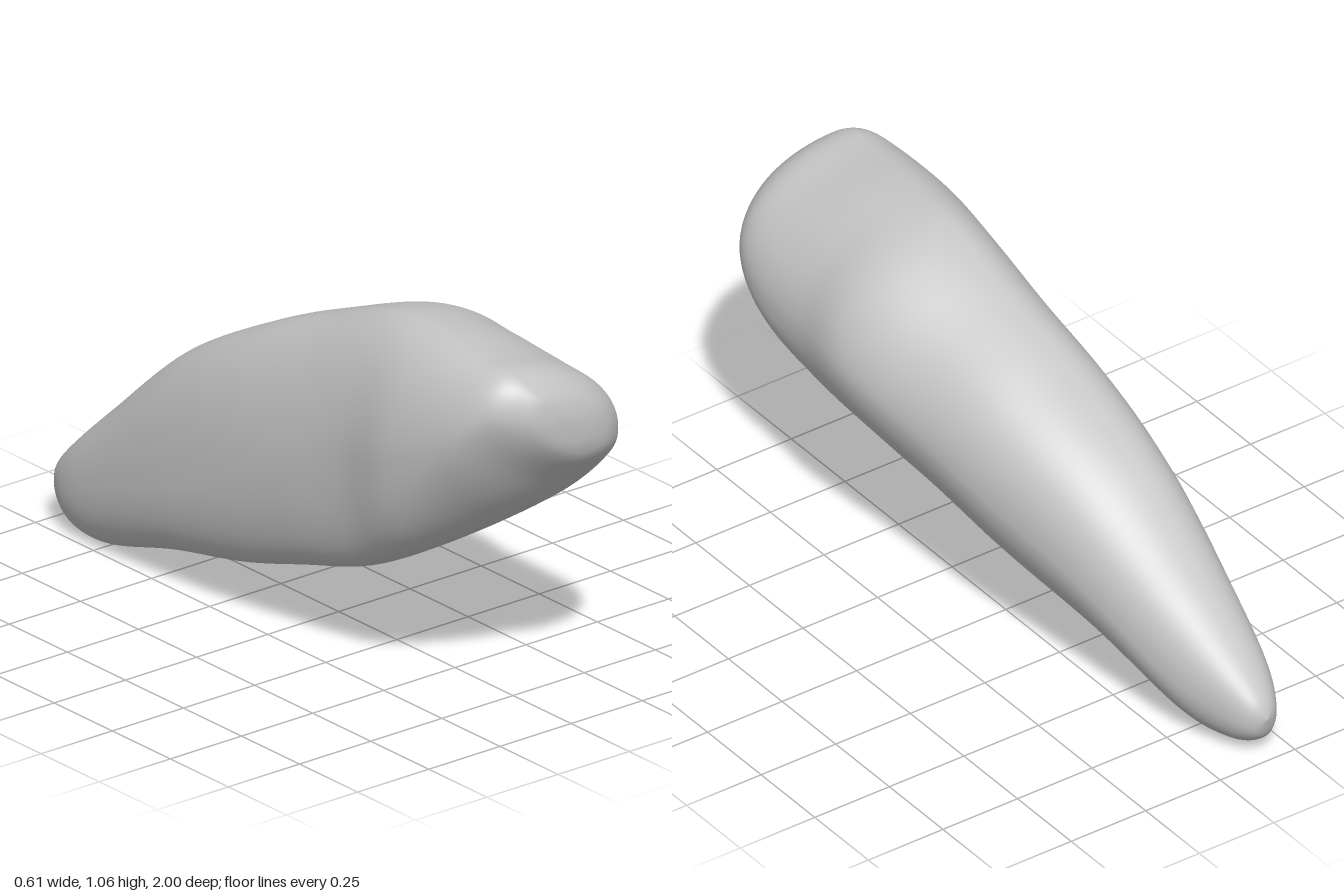
import * as THREE from 'three';
import { mergeVertices } from 'three/addons/utils/BufferGeometryUtils.js';

// Cross-sections from the back tip to the front tip:
// z, top x y, right x y, bottom x y, left x y, flatness of the lower left side
const SECTIONS = [
  [-1.00, -0.16, 0.13, -0.16, 0.13, -0.16, 0.13, -0.16, 0.13, 1],
  [-0.97, -0.16, 0.185, -0.11, 0.12, -0.17, 0.055, -0.21, 0.12, 1],
  [-0.88, -0.16, 0.275, -0.055, 0.15, -0.18, 0.005, -0.255, 0.14, 1],
  [-0.73, -0.15, 0.415, 0.015, 0.22, -0.18, 0.004, -0.28, 0.19, 1],
  [-0.45, -0.13, 0.665, 0.115, 0.41, -0.19, 0.085, -0.30, 0.30, 0.95],
  [-0.15, -0.11, 0.835, 0.20, 0.54, -0.19, 0.148, -0.305, 0.41, 0.95],
  [0.10, -0.09, 0.945, 0.25, 0.63, -0.18, 0.22, -0.30, 0.52, 0.9],
  [0.36, -0.08, 1.04, 0.305, 0.71, -0.16, 0.30, -0.29, 0.64, 0.78],
  [0.57, -0.09, 1.055, 0.288, 0.71, -0.10, 0.41, -0.307, 0.71, 0.78],
  [0.78, -0.12, 1.04, 0.28, 0.74, 0.01, 0.56, -0.275, 0.82, 1.05],
  [0.90, -0.12, 1.03, 0.245, 0.78, 0.06, 0.675, -0.22, 0.91, 1.2],
  [0.97, -0.09, 0.98, 0.17, 0.81, 0.07, 0.745, -0.14, 0.91, 1.2],
  [0.995, -0.04, 0.92, 0.09, 0.83, 0.04, 0.80, -0.07, 0.89, 1.1],
  [1.00, 0.01, 0.86, 0.01, 0.86, 0.01, 0.86, 0.01, 0.86, 1],
];

// Smooth interpolation of one column through neighbouring sections
function sectionAt(t) {
  const last = SECTIONS.length - 1;
  const i = Math.min(Math.floor(t), last - 1);
  const f = t - i;
  const row = (k) => SECTIONS[Math.max(0, Math.min(last, k))];
  return SECTIONS[i].map((_, c) => {
    const a = row(i - 1)[c], b = row(i)[c], d = row(i + 1)[c], e = row(i + 2)[c];
    return b + 0.5 * f * (d - a + f * (2 * a - 5 * b + 4 * d - e + f * (3 * (b - d) + e - a)));
  });
}

// Point on a section made of four quarter curves joining its extreme points
function ringPoint(s, angle) {
  const [z, xt, yt, xr, yr, xb, yb, xl, yl, flat] = s;
  const { smoothstep } = THREE.MathUtils;
  const c = Math.cos(angle), n = Math.sin(angle);
  const [sideX, sideY] = c >= 0 ? [xr, yr] : [xl, yl];
  const [endX, endY] = n >= 0 ? [xt, yt] : [xb, yb];
  // The back is full on top, the front is full at the lower right
  const upper = 0.85 + 0.2 * smoothstep(z, -0.3, 0.2);
  const lowerRight = 0.95 + 0.2 * smoothstep(z, -1, -0.6) - 0.4 * smoothstep(z, 0.3, 0.8);
  const lower = c >= 0 ? lowerRight : flat;
  const p = n >= 0 ? upper : lower;
  return [
    endX + (sideX - endX) * Math.abs(c) ** p,
    sideY + (endY - sideY) * Math.abs(n) ** p,
    z,
  ];
}

function stoneGeometry(around = 72, steps = 8) {
  const rows = (SECTIONS.length - 1) * steps;
  const positions = [], index = [];
  for (let r = 0; r <= rows; r++) {
    const s = sectionAt(r / steps);
    for (let k = 0; k < around; k++) {
      positions.push(...ringPoint(s, (k / around) * Math.PI * 2));
      if (r === rows) continue;
      const a = r * around + k, b = r * around + ((k + 1) % around);
      if (r > 0) index.push(a, b, b + around);
      if (r < rows - 1) index.push(a, b + around, a + around);
      else index.push(a, b, a + around);
    }
  }
  const geometry = new THREE.BufferGeometry();
  geometry.setAttribute('position', new THREE.Float32BufferAttribute(positions, 3));
  geometry.setIndex(index);
  const welded = mergeVertices(geometry, 1e-5);
  welded.computeVertexNormals();
  return welded;
}

export function createModel() {
  const group = new THREE.Group();
  group.name = 'smoothStone';

  const stoneGrey = new THREE.MeshStandardMaterial({ color: 0xc4c4c4 });
  stoneGrey.name = 'stone grey';

  // One rounded, tapering stone body
  const body = new THREE.Mesh(stoneGeometry(), stoneGrey);
  body.name = 'stoneBody';
  group.add(body);
  return group;
}
